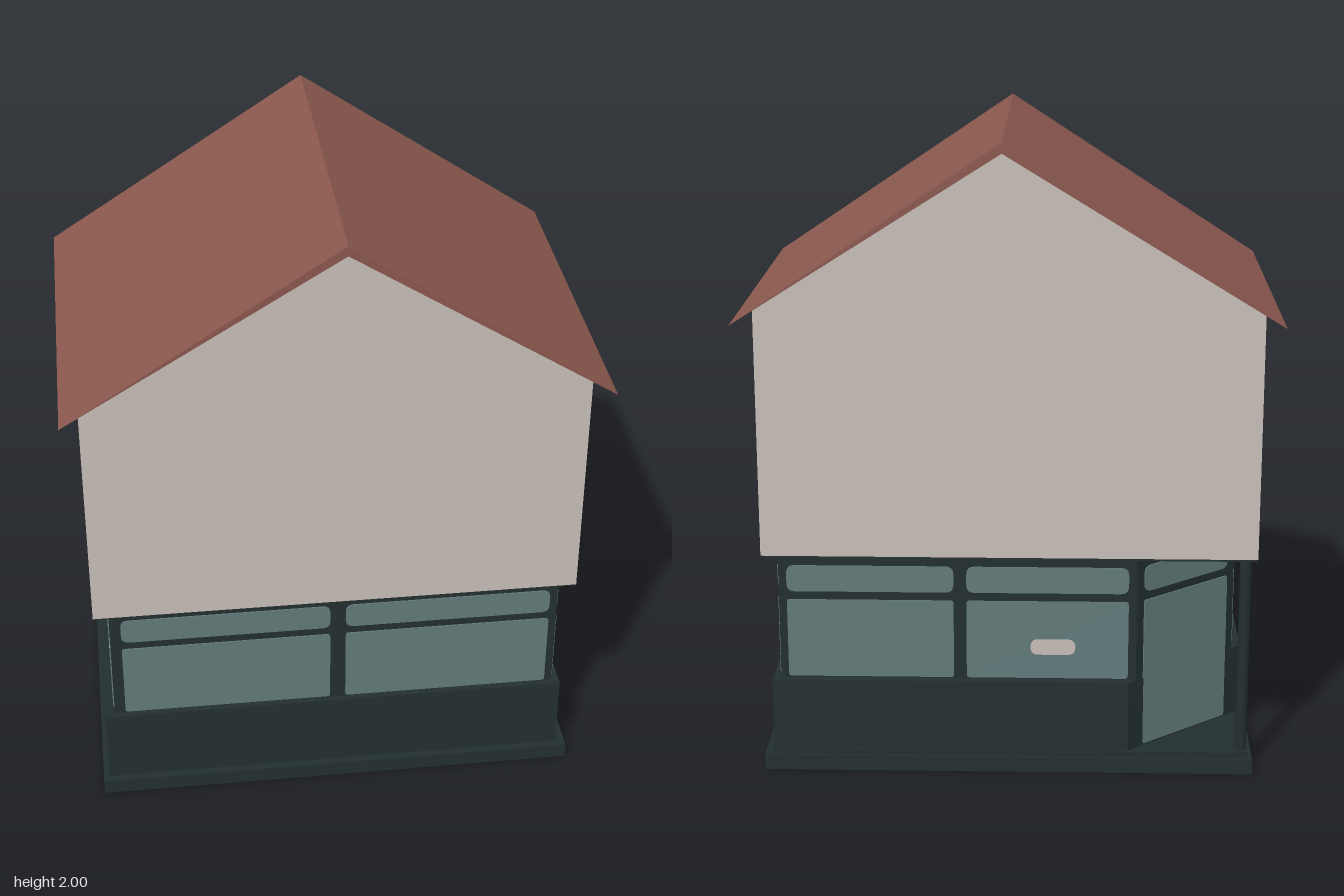
import * as THREE from 'three';

const mat = (name, color, side = THREE.FrontSide) => {
  const m = new THREE.MeshStandardMaterial({ color, side });
  m.name = name;
  return m;
};

export function createModel() {
  const house = new THREE.Group();
  house.name = 'house';
  const plaster = mat('plaster', 0xc8beb8);
  const tile = mat('roofTile', 0x8b584e);
  const timber = mat('darkTimber', 0x232f2f);
  const glass = mat('glass', 0x627a7a);

  const add = (parent, name, geometry, material, x = 0, y = 0, z = 0) => {
    const mesh = new THREE.Mesh(geometry, material);
    mesh.name = name;
    mesh.position.set(x, y, z);
    parent.add(mesh);
    return mesh;
  };

  // Box between two heights
  const slab = (name, x0, x1, y0, y1, z0, z1, material) =>
    add(house, name, new THREE.BoxGeometry(x1 - x0, y1 - y0, z1 - z0), material,
      (x0 + x1) / 2, (y0 + y1) / 2, (z0 + z1) / 2);

  // Upright prism over a plan outline of [x, z] corners
  const prism = (name, plan, y0, y1, material) => {
    const shape = new THREE.Shape(plan.map(([x, z]) => new THREE.Vector2(x, -z)));
    const g = new THREE.ExtrudeGeometry(shape, { depth: y1 - y0, bevelEnabled: false });
    add(house, name, g.rotateX(-Math.PI / 2), material, 0, y0, 0);
  };

  // Profile of [x, y] corners carried from back to front
  const alongZ = (name, profile, z0, z1, material) => {
    const shape = new THREE.Shape(profile.map(([x, y]) => new THREE.Vector2(x, y)));
    const g = new THREE.ExtrudeGeometry(shape, { depth: z1 - z0, bevelEnabled: false });
    add(house, name, g, material, 0, 0, z0);
  };

  // Thin plate with rounded corners
  const plate = (x0, x1, y0, y1, r) => {
    const s = new THREE.Shape();
    s.moveTo(x0 + r, y0);
    s.lineTo(x1 - r, y0);
    s.quadraticCurveTo(x1, y0, x1, y0 + r);
    s.lineTo(x1, y1 - r);
    s.quadraticCurveTo(x1, y1, x1 - r, y1);
    s.lineTo(x0 + r, y1);
    s.quadraticCurveTo(x0, y1, x0, y1 - r);
    s.lineTo(x0, y0 + r);
    s.quadraticCurveTo(x0, y0, x0 + r, y0);
    return new THREE.ExtrudeGeometry(s, { depth: 0.004, bevelEnabled: false, curveSegments: 4 });
  };

  // Plinth and floor
  slab('plinth', -0.77, 0.77, 0, 0.05, -0.545, 0.555, timber);
  slab('floor', -0.755, 0.745, 0.05, 0.07, -0.535, 0.53, timber);

  // Ground floor, with its back corner cut away for the entrance
  prism('lowerWall',
    [[-0.75, 0.53], [0.74, 0.53], [0.74, -0.53], [-0.377, -0.53], [-0.75, -0.204]], 0.05, 0.3, timber);
  const plan = [[-0.72, 0.51], [0.715, 0.51], [0.715, -0.505], [-0.4, -0.505], [-0.72, -0.23]];
  prism('windowFrame', plan, 0.3, 0.71, timber);

  // Panes on each wall, measured along it from its left end
  const walls = [
    { name: 'frontWindows', panes: [[0.035, 0.7], [0.75, 1.41]] },
    { name: 'leftWindows', panes: [[0.01, 0.487], [0.525, 1.0]] },
    { name: 'backWindows', panes: [[0.025, 0.545], [0.585, 1.09]] },
    { name: 'entrance', panes: [[0.03, 0.39]], sill: 0.075 },
    { name: 'rightWindows', panes: [[0.03, 0.72]] },
  ];
  walls.forEach(({ name, panes, sill = 0.305 }, i) => {
    const [px, pz] = plan[i];
    const [qx, qz] = plan[(i + 1) % plan.length];
    const wall = new THREE.Group();
    wall.name = name;
    wall.position.set(px, 0, pz);
    wall.rotation.y = Math.atan2(pz - qz, qx - px);
    house.add(wall);
    for (const [a, b] of panes) {
      add(wall, 'pane', plate(a, b, sill, 0.56, 0.01), glass);
      add(wall, 'transomPane', plate(a, b, 0.587, 0.672, 0.025), glass);
    }
    // Small pale plaque on the back window
    if (name === 'backWindows') {
      add(wall, 'plaque', plate(0.785, 0.925, 0.385, 0.435, 0.024), plaster, 0, 0, 0.004);
    }
  });

  // Corner post beside the entrance
  add(house, 'cornerPost', new THREE.CylinderGeometry(0.018, 0.018, 0.66, 12), timber, -0.733, 0.38, -0.513);
  slab('postFoot', -0.757, -0.709, 0.05, 0.075, -0.537, -0.489, timber);

  // Upper storey and the dark ceiling beneath it
  slab('overhangCeiling', -0.765, 0.76, 0.706, 0.716, -0.535, 0.54, timber);
  alongZ('upperWalls',
    [[-0.768, 0.714], [0.763, 0.714], [0.763, 1.488], [0.015, 1.972], [-0.768, 1.488]],
    -0.54, 0.545, plaster);

  // Gable roof, thinning to the eaves
  alongZ('roof', [[-0.825, 1.455], [0.015, 1.968], [0.825, 1.455], [0.015, 2]], -0.605, 0.605, tile);

  return house;
}
